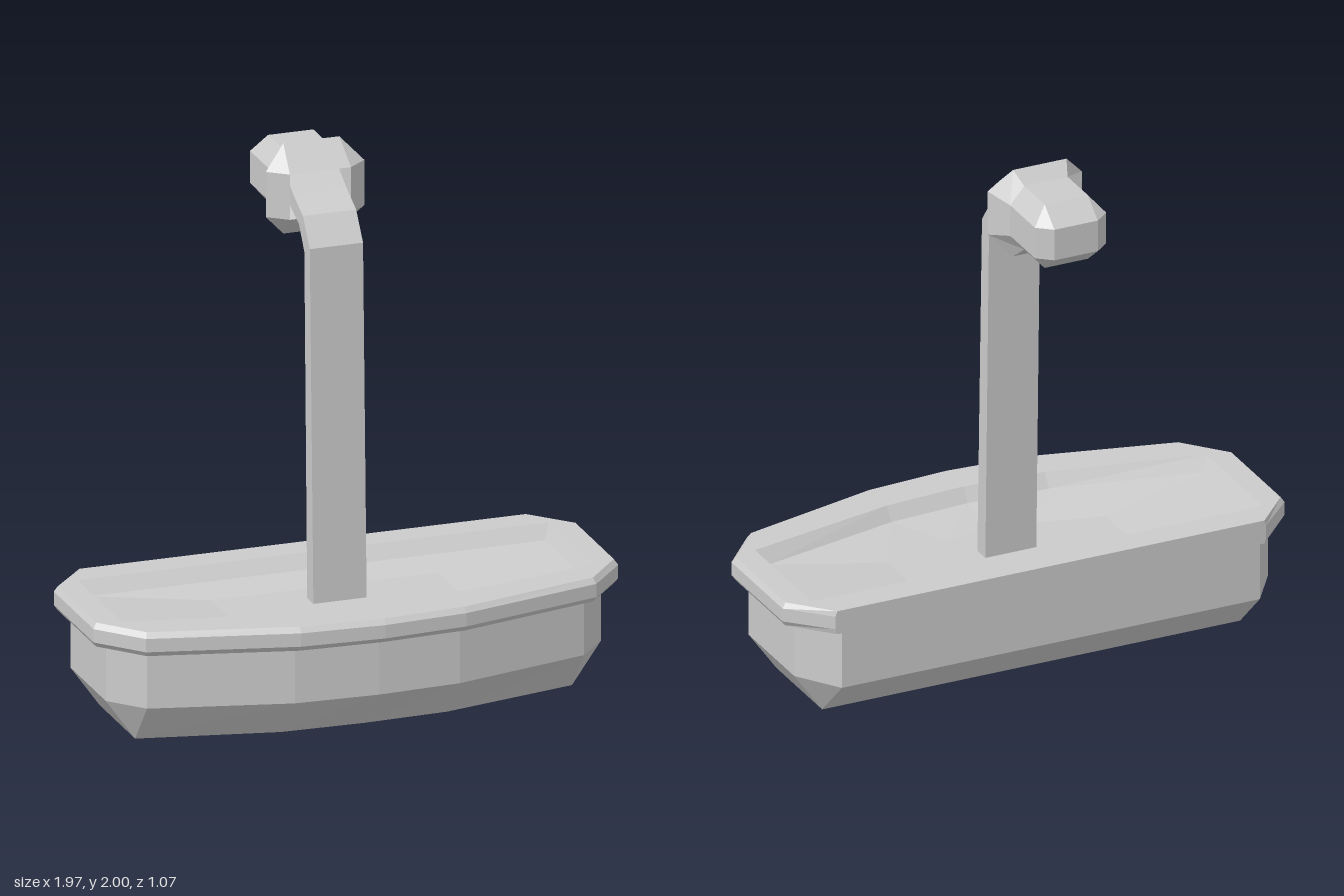
import * as THREE from 'three';

const material = new THREE.MeshStandardMaterial({ color: 0xcccccc, flatShading: true });

// Skin a list of equal-length rings with flat faces; caps are fans to a centre point
function loft(name, rings, startCap, endCap) {
  const pos = [];
  const tri = (a, b, c) => pos.push(...a, ...b, ...c);
  const n = rings[0].length;
  for (let r = 0; r < rings.length - 1; r++) {
    for (let i = 0; i < n; i++) {
      const j = (i + 1) % n;
      const [a, b, c, d] = [rings[r][i], rings[r][j], rings[r + 1][j], rings[r + 1][i]];
      tri(a, b, c);
      tri(a, c, d);
    }
  }
  const last = rings[rings.length - 1];
  for (let i = 0; i < n; i++) {
    const j = (i + 1) % n;
    if (startCap) tri(startCap, rings[0][j], rings[0][i]);
    if (endCap) tri(endCap, last[i], last[j]);
  }
  const geo = new THREE.BufferGeometry();
  geo.setAttribute('position', new THREE.Float32BufferAttribute(pos, 3));
  geo.computeVertexNormals();
  const mesh = new THREE.Mesh(geo, material);
  mesh.name = name;
  return mesh;
}

// Horizontal ring: front centre point, then [x, z] points of one half, mirrored in x
function tray(y, frontZ, half) {
  const right = half.map(([x, z]) => [x, y, z]);
  const left = half.map(([x, z]) => [-x, y, z]).reverse();
  return [[0, y, frontZ], ...right, ...left];
}

// Upright octagon facing z: flat sides at hx, top and bottom at hy
function octagon(hx, hy, cx, cy, sideZ, topZ = sideZ) {
  const y = 1.83;
  const right = [[cx, y + hy, topZ], [hx, y + cy, sideZ], [hx, y - cy, sideZ], [cx, y - hy, topZ]];
  return [...right, ...right.map(([x, py, z]) => [-x, py, z]).reverse()];
}

export function createModel() {
  const model = new THREE.Group();

  // Hull with chamfered underside
  const hull = [[0.31, 0.45], [0.82, 0.325], [0.93, 0.2], [0.93, -0.17], [0.82, -0.33]];
  const base = [[0.31, 0.31], [0.82, 0.2], [0.82, 0.2], [0.82, -0.17], [0.82, -0.17]];
  model.add(loft('hull', [
    tray(0, 0.32, base), tray(0.155, 0.465, hull), tray(0.38, 0.465, hull),
  ], [0, 0, 0]));

  // Bevelled rim, running down into the sunken tray
  const edge = [[0.31, 0.515], [0.845, 0.385], [0.985, 0.225], [0.985, -0.19], [0.845, -0.33]];
  const bevel = [[0.31, 0.5], [0.838, 0.37], [0.972, 0.215], [0.972, -0.185], [0.838, -0.33]];
  const mouth = [[0.31, 0.36], [0.885, 0.24], [0.885, 0.24], [0.885, -0.22], [0.885, -0.22]];
  const floor = [[0.31, 0.325], [0.855, 0.205], [0.855, 0.205], [0.855, -0.18], [0.855, -0.18]];
  model.add(loft('rim', [
    tray(0.37, 0.465, hull), tray(0.37, 0.515, bevel), tray(0.39, 0.535, edge),
    tray(0.44, 0.535, edge), tray(0.46, 0.52, bevel), tray(0.46, 0.38, mouth),
    tray(0.41, 0.345, floor),
  ]));

  // Slightly dished tray floor
  model.add(loft('trayFloor', [
    tray(0.41, 0.345, floor), tray(0.37, 0.2, floor.map(([x, z]) => [x * 0.5, z * 0.55])),
  ], null, [0, 0.37, 0.03]));

  // Flat stem, bent backwards at the top: side profile as [z, y]
  const profile = [
    [-0.005, 0.35], [0.06, 0.35], [0.022, 1.69], [-0.05, 1.79], [-0.145, 1.835], [-0.24, 1.89],
    [-0.24, 1.81], [-0.145, 1.768], [-0.09, 1.745], [-0.035, 1.66],
  ];
  const shape = new THREE.Shape(profile.map(([z, y]) => new THREE.Vector2(z, y)));
  const stemGeo = new THREE.ExtrudeGeometry(shape, { depth: 0.2, bevelEnabled: false });
  stemGeo.rotateY(-Math.PI / 2).translate(0.1, 0, 0);
  const stem = new THREE.Mesh(stemGeo, material);
  stem.name = 'stem';
  model.add(stem);

  // Head: recessed socket, flared collar, chamfered rear housing
  model.add(loft('head', [
    octagon(0.1, 0.06, 0.1, 0.06, -0.235),
    octagon(0.115, 0.085, 0.115, 0.085, -0.145),
    octagon(0.185, 0.17, 0.105, 0.085, -0.2, -0.24),
    octagon(0.14, 0.125, 0.085, 0.06, -0.29),
    octagon(0.14, 0.125, 0.085, 0.06, -0.49, -0.455),
    octagon(0.085, 0.06, 0.085, 0.06, -0.535),
  ], [0, 1.83, -0.235], [0, 1.83, -0.535]));

  return model;
}
